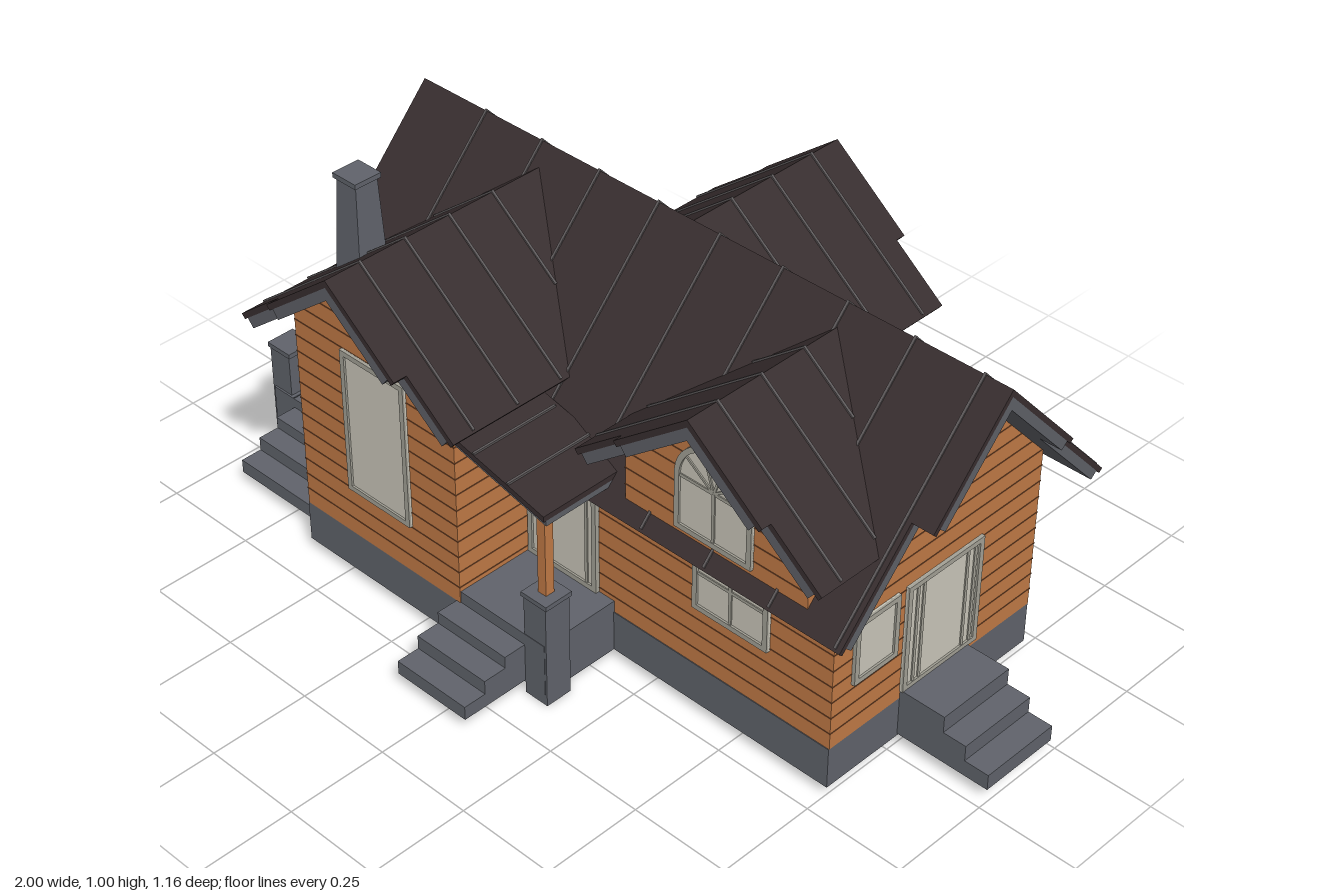
import * as THREE from 'three';

const mat = (name, color, side = THREE.FrontSide) => {
  const m = new THREE.MeshStandardMaterial({ color, side });
  m.name = name;
  return m;
};

// Main roof: ridge height, slope and ridge position in z
const RIDGE = 0.95, SLOPE = 1.08, RIDGE_Z = -0.125;
// Distance from the main ridge at which the main roof has height y
const roofAt = (y) => (RIDGE - y) / SLOPE;

export function createModel() {
  const M = {
    wall: mat('timber cladding', 0xc17a46),
    groove: mat('cladding groove', 0x7c4a2a),
    roof: mat('dark roof', 0x382e2f),
    seam: mat('roof seam', 0x5c5859),
    trim: mat('grey trim', 0x5e6067),
    stone: mat('grey stone', 0x60636b),
    joint: mat('paving joint', 0x43464c),
    glass: mat('glass', 0xcac7ba),
    frame: mat('window frame', 0xa3a196),
    rail: mat('railing', 0x363a3d),
  };
  const house = new THREE.Group();
  house.name = 'house';

  const group = (name, parent, x = 0, y = 0, z = 0, ry = 0) => {
    const g = new THREE.Group();
    g.name = name;
    g.position.set(x, y, z);
    g.rotation.y = ry;
    parent.add(g);
    return g;
  };
  const add = (name, parent, geo, m) => {
    const mesh = new THREE.Mesh(geo, m);
    mesh.name = name;
    parent.add(mesh);
    return mesh;
  };
  // Box given by its limits
  const box = (name, parent, m, x0, x1, y0, y1, z0, z1) => {
    const b = add(name, parent, new THREE.BoxGeometry(x1 - x0, y1 - y0, z1 - z0), m);
    b.position.set((x0 + x1) / 2, (y0 + y1) / 2, (z0 + z1) / 2);
    return b;
  };
  // Extrude points along z; the back end can follow a rule of height
  const prism = (name, parent, m, pts, z0, z1, backRule) => {
    const shape = new THREE.Shape(pts.map(([x, y]) => new THREE.Vector2(x, y)));
    const geo = new THREE.ExtrudeGeometry(shape, { depth: z1 - z0, bevelEnabled: false });
    geo.translate(0, 0, z0);
    if (backRule) {
      const p = geo.attributes.position;
      for (let i = 0; i < p.count; i++)
        if (p.getZ(i) < z0 + 1e-5) p.setZ(i, backRule(p.getY(i)));
      geo.computeVertexNormals();
    }
    return add(name, parent, geo, m);
  };
  // Two-sided sloping layer of half-width b
  const chevron = (name, parent, m, top, slope, b, t, z0, z1, rule) => {
    const e = top - slope * b, c = b - t * 0.5;
    const u = top - t - slope * c;
    prism(name, parent, m, [[-b, e], [-c, u], [0, top - t], [c, u], [b, e], [0, top]], z0, z1, rule);
  };
  // Roof covering over grey boards
  const roofPiece = (parent, top, slope, b, z0, z1, rule) => {
    chevron('roofCovering', parent, M.roof, top, slope, b, 0.018, z0, z1, rule);
    chevron('roofBoards', parent, M.trim, top - 0.018, slope, b - 0.02, 0.032, z0, z1, rule);
  };
  const gableWall = (parent, hw, y0, apex, slope, z0, z1, rule) => {
    const eave = apex - slope * hw;
    prism('gableWalls', parent, M.wall, [[-hw, y0], [hw, y0], [hw, eave], [0, apex], [-hw, eave]], z0, z1, rule);
    for (let y = y0 + 0.042; y < apex - 0.02; y += 0.042) {
      const w = Math.min(hw, (apex - y) / slope) + 0.001;
      const back = rule ? rule(y) : z0 - 0.001;
      box('groove', parent, M.groove, -w, w, y - 0.0015, y + 0.0015, back, z1 + 0.001);
    }
  };

  // Foundations
  box('mainFoundation', house, M.stone, -0.62, 0.757, 0.03, 0.135, -0.447, 0.2);
  box('wingFoundation', house, M.stone, -0.62, -0.12, 0.03, 0.135, 0.19, 0.41);
  box('porchFloor', house, M.stone, -0.12, 0.14, 0.03, 0.165, 0.19, 0.408);
  box('terraceFloor', house, M.stone, -0.985, -0.62, 0.03, 0.16, -0.44, 0.2);
  for (let z = -0.38; z < 0.2; z += 0.075)
    box('pavingJoint', house, M.joint, -0.98, -0.622, 0.158, 0.1615, z, z + 0.004);
  for (let x = -0.92; x < -0.63; x += 0.075)
    box('pavingJoint', house, M.joint, x, x + 0.004, 0.158, 0.1615, -0.435, 0.198);

  // Main body and roof; local z runs along the house
  const main = group('mainBody', house, 0, 0, RIDGE_Z, Math.PI / 2);
  gableWall(main, 0.323, 0.135, RIDGE - 0.05, SLOPE, -0.62, 0.757);
  roofPiece(main, RIDGE, SLOPE, 0.415, -0.715, 0.845);
  roofPiece(main, RIDGE, SLOPE, 0.217, 0.845, 0.9);
  roofPiece(main, RIDGE, SLOPE, 0.217, -0.77, -0.715);
  for (let x = -0.57; x < 0.85; x += 0.175)
    chevron('roofSeam', main, M.seam, RIDGE + 0.005, SLOPE, 0.413, 0.008, x - 0.003, x + 0.003);

  // Cross gables: front wing and the two dormers
  const crossGable = (name, x, ry, ridge, y0, wallZ, eaveZ, peakZ) => {
    const g = group(name, house, x, 0, RIDGE_Z, ry), s = 0.78;
    gableWall(g, 0.25, y0, ridge - 0.05, s, 0.05, wallZ, (y) => Math.min(roofAt(y) - 0.02, 0.3));
    roofPiece(g, ridge, s, 0.335, 0.05, eaveZ, (y) => Math.max(roofAt(y) - 0.015, 0.005));
    roofPiece(g, ridge, s, 0.2, eaveZ, peakZ);
    for (let z = eaveZ - 0.06; z > 0.06; z -= 0.125) {
      const b = Math.min(0.333, (ridge - RIDGE + SLOPE * z) / s);
      if (b > 0.03) chevron('roofSeam', g, M.seam, ridge + 0.005, s, b, 0.008, z - 0.003, z + 0.003);
    }
    return g;
  };
  const wing = crossGable('frontWing', -0.368, 0, 0.91, 0.135, 0.535, 0.61, 0.645);
  const dormer = crossGable('frontDormer', 0.485, 0, 0.91, 0.53, 0.385, 0.445, 0.47);
  const backDormer = crossGable('backDormer', 0.05, Math.PI, 0.945, 0.53, 0.375, 0.43, 0.455);

  // Rectangular windows and glazed doors, facing local +z
  const pane = (name, parent, x, y, z, ry, w, h, cols = [], rows = []) => {
    const g = group(name, parent, x, y, z, ry), f = 0.013;
    box('glass', g, M.glass, -w / 2, w / 2, 0, h, -0.002, 0.004);
    for (const s of [-1, 1]) {
      const c = s * (w - f) / 2;
      box('sideFrame', g, M.frame, c - f / 2, c + f / 2, 0, h, -0.002, 0.009);
    }
    for (const c of [f / 2, h - f / 2])
      box('endFrame', g, M.frame, -w / 2 + f, w / 2 - f, c - f / 2, c + f / 2, -0.002, 0.009);
    for (const c of cols)
      box('mullion', g, M.frame, c * w - 0.004, c * w + 0.004, f, h - f, 0, 0.007);
    for (const r of rows)
      box('transom', g, M.frame, -w / 2 + f, w / 2 - f, r * h - 0.004, r * h + 0.004, 0, 0.0065);
  };
  const R = Math.PI / 2;
  pane('wingWindow', wing, 0.005, 0.265, 0.535, 0, 0.2, 0.375);
  pane('frontWindow', house, 0.482, 0.297, 0.2, 0, 0.21, 0.15, [0], [0.65]);
  pane('porchDoor', house, -0.01, 0.166, 0.2, 0, 0.21, 0.28, [-0.3, 0.35]);
  pane('sideWindow', house, 0.757, 0.275, 0.072, R, 0.135, 0.162);
  pane('sideDoor', house, 0.757, 0.155, -0.14, R, 0.24, 0.282, [-0.36, -0.28, 0.3, 0.4]);
  pane('terraceDoor', house, -0.62, 0.162, RIDGE_Z, -R, 0.4, 0.285, [-0.25, 0, 0.25]);
  pane('backWindow', house, 0.525, 0.28, -0.447, Math.PI, 0.125, 0.16, [], [0.65]);
  pane('backWindow', house, 0.05, 0.297, -0.447, Math.PI, 0.21, 0.15, [0], [0.65]);
  pane('backWindow', house, -0.405, 0.28, -0.447, Math.PI, 0.125, 0.16, [], [0.65]);

  // Arched windows with fan bars
  const archPath = (P, r, h, y0) => {
    const p = new P();
    p.moveTo(-r, y0);
    p.lineTo(r, y0);
    p.lineTo(r, h);
    p.absarc(0, h, r, 0, Math.PI, false);
    p.lineTo(-r, y0);
    return p;
  };
  const archWindow = (parent, x, y, z, ry, r, h) => {
    const g = group('archWindow', parent, x, y, z, ry);
    const flat = (shape, depth) => new THREE.ExtrudeGeometry(shape, { depth, bevelEnabled: false, curveSegments: 20 });
    add('glass', g, flat(archPath(THREE.Shape, r, h, 0), 0.004), M.glass);
    const ring = archPath(THREE.Shape, r, h, 0);
    ring.holes.push(archPath(THREE.Path, r - 0.013, h, 0.013));
    add('archFrame', g, flat(ring, 0.009), M.frame);
    box('transom', g, M.frame, -r + 0.01, r - 0.01, h - 0.004, h + 0.004, 0, 0.0065);
    if (h > 0.05) box('mullion', g, M.frame, -0.004, 0.004, 0.01, h, 0, 0.007);
    for (let i = 1; i < 5; i++) {
      const a = i * Math.PI / 5;
      const bar = add('fanBar', g, new THREE.BoxGeometry(r - 0.01, 0.006, 0.007), M.frame);
      bar.position.set(Math.cos(a) * r / 2, h + Math.sin(a) * r / 2, 0.0035);
      bar.rotation.z = a;
    }
  };
  archWindow(dormer, 0, 0.55, 0.385, 0, 0.105, 0.135);
  archWindow(backDormer, 0, 0.565, 0.375, 0, 0.105, 0.135);
  archWindow(house, -0.62, 0.52, RIDGE_Z, -R, 0.19, 0.03);

  // Steps descending along local +z
  const steps = (name, x, z, ry, w, ends, tops) => {
    const g = group(name, house, x, 0, z, ry);
    ends.forEach((e, i) =>
      box('step', g, M.stone, -w / 2, w / 2, 0.035, tops[i], i ? ends[i - 1] : -0.01, e));
  };
  steps('porchSteps', -0.025, 0.408, 0, 0.21, [0.058, 0.118, 0.177], [0.135, 0.105, 0.07]);
  steps('terraceSteps', -0.768, 0.2, 0, 0.295, [0.055, 0.11, 0.166], [0.135, 0.105, 0.07]);
  steps('sideSteps', 0.757, -0.127, R, 0.21, [0.12, 0.18, 0.243], [0.157, 0.115, 0.075]);

  // Stone pillars with caps
  for (const [x, z] of [[-0.962, -0.41], [-0.962, 0.16], [0.112, 0.372]]) {
    const g = group('pillar', house, x, 0, z);
    box('pillarShaft', g, M.stone, -0.033, 0.033, 0, 0.268, -0.035, 0.035);
    box('pillarCap', g, M.stone, -0.038, 0.038, 0.268, 0.28, -0.038, 0.038);
  }

  // Terrace railings with crossed panels
  const railing = (x, z, ry, length, n) => {
    const g = group('railing', house, x, 0, z, ry);
    box('topRail', g, M.rail, 0, length, 0.243, 0.257, -0.012, 0.012);
    box('bottomRail', g, M.rail, 0, length, 0.166, 0.174, -0.006, 0.006);
    const w = length / n, d = Math.hypot(w, 0.07);
    for (let i = 0; i < n; i++) {
      box('railPost', g, M.rail, i * w, i * w + 0.01, 0.16, 0.245, -0.005, 0.005);
      for (const s of [-1, 1]) {
        const bar = add('crossBar', g, new THREE.BoxGeometry(d, 0.006, 0.006), M.rail);
        bar.position.set((i + 0.5) * w, 0.208, 0);
        bar.rotation.z = s * Math.atan2(0.07, w);
      }
    }
  };
  railing(-0.925, -0.425, 0, 0.305, 4);
  railing(-0.96, 0.125, R, 0.5, 6);

  // Porch roof, beam and post
  const porch = group('porchRoof', house);
  const slab = (name, m, dy, t, z0, z1) => prism(name, porch, m,
    [[-0.15, 0.64 - dy - t], [0.186, 0.562 - dy - t], [0.186, 0.562 - dy], [-0.15, 0.64 - dy]], z0, z1);
  slab('porchCovering', M.roof, 0, 0.014, 0.2, 0.445);
  slab('porchBoards', M.trim, 0.014, 0.014, 0.2, 0.438);
  for (const x of [-0.02, 0.08])
    box('roofSeam', porch, M.seam, x - 0.003, x + 0.003, 0.6 - (x + 0.02) * 0.23, 0.614 - (x + 0.02) * 0.23, 0.21, 0.444);
  box('porchPost', house, M.wall, 0.1, 0.124, 0.28, 0.56, 0.36, 0.384);

  // Chimney
  const q = Math.SQRT2;
  const stack = add('chimney', house,
    new THREE.CylinderGeometry(0.03 * q, 0.041 * q, 0.265, 4).rotateY(Math.PI / 4).toNonIndexed(), M.stone);
  stack.geometry.computeVertexNormals();
  stack.position.set(-0.527, 0.8525, 0.287);
  box('chimneyCap', house, M.stone, -0.563, -0.491, 0.983, 0.995, 0.251, 0.323);
  return house;
}
